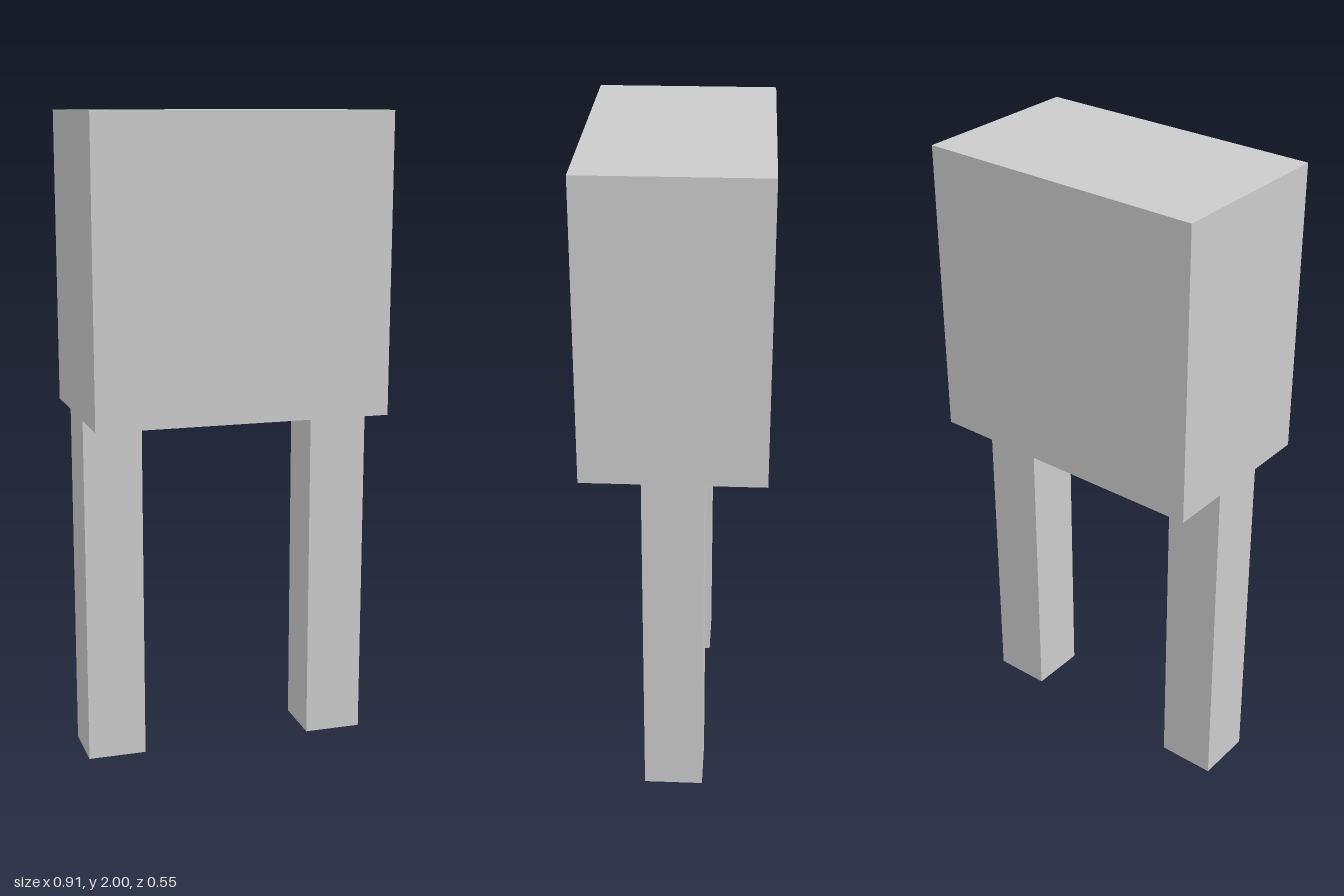
import * as THREE from 'three';

export function createModel() {
  const group = new THREE.Group();
  const material = new THREE.MeshStandardMaterial({ color: 0xcccccc, flatShading: true });

  const width = 0.909, depth = 0.545;
  const legSize = 0.182, legHeight = 1.091;
  const bodyHeight = 2 - legHeight;

  // Adds a box standing on height y
  function addBox(name, w, h, d, x, y) {
    const mesh = new THREE.Mesh(new THREE.BoxGeometry(w, h, d), material);
    mesh.name = name;
    mesh.position.set(x, y + h / 2, 0);
    group.add(mesh);
  }

  // Main block on top
  addBox('body', width, bodyHeight, depth, 0, legHeight);

  // Two square legs, flush with the body's sides
  for (const [name, side] of [['leftLeg', 1], ['rightLeg', -1]]) {
    addBox(name, legSize, legHeight, legSize, side * (width - legSize) / 2, 0);
  }

  return group;
}
